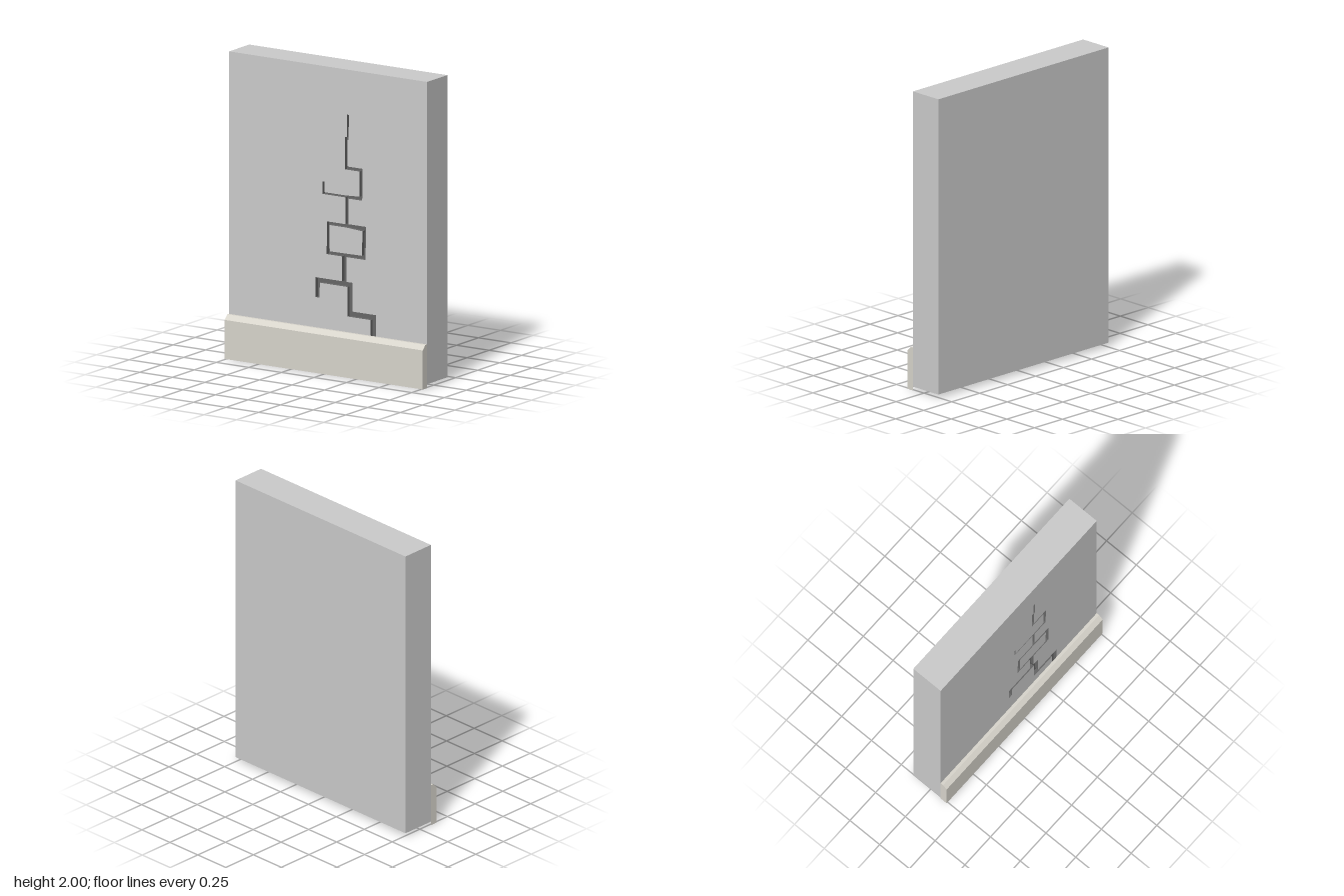
import * as THREE from 'three';

const W = 0.76, BASE = 0.025, TOP = 2, FRONT = 0.09, BACK = -0.14, FLOOR = 0.065;

// Crack outline: up its left side from the wall's foot, then down its right side
const CRACK = [
  [.15, BASE], [.15, .2], [.325, .2], [.325, .387], [.148, .387], [.148, .58],
  [-.063, .58], [-.066, .482], [-.095, .482], [-.095, .612], [.108, .612], [.108, .774],
  [-.011, .774], [-.008, .988], [.132, .988], [.132, 1.163], [-.042, 1.163], [-.042, 1.245],
  [-.029, 1.245], [-.029, 1.176], [.132, 1.176], [.241, 1.182], [.241, 1.346], [.13, 1.346],
  [.13, 1.558], [.146, 1.558], [.146, 1.706], [.161, 1.706], [.156, 1.542], [.148, 1.542],
  [.151, 1.367], [.265, 1.367], [.262, 1.158], [.156, 1.158], [.156, .991], [.291, .991],
  [.288, .774], [.143, .774], [.143, .612], [.188, .612], [.188, .424], [.368, .424],
  [.368, .16], [.19, .16], [.19, BASE],
];
// Piece of wall left standing inside the crack's loop
const ISLAND = [[.013, .795], [.259, .798], [.265, .959], [.137, .967], [.011, .967]];

const vectors = (points) => points.map(([x, y]) => new THREE.Vector2(x, y));

function material(color) {
  return new THREE.MeshStandardMaterial({ color, flatShading: true, side: THREE.DoubleSide });
}

// Four-cornered faces, corners counter-clockwise
function quads(faces) {
  const positions = faces.flatMap(([a, b, c, d]) => [a, b, c, a, c, d].flat());
  const geometry = new THREE.BufferGeometry();
  geometry.setAttribute('position', new THREE.Float32BufferAttribute(positions, 3));
  geometry.computeVertexNormals();
  return geometry;
}

export function createModel() {
  const model = new THREE.Group();
  const plaster = material(0xcccccc);
  const skirting = material(0xd8d5cc);
  const dark = material(0x666666);

  function add(name, geometry, mat, z = 0) {
    const mesh = new THREE.Mesh(geometry, mat);
    mesh.name = name;
    mesh.position.z = z;
    model.add(mesh);
  }

  // Wall front, with the crack cut out
  const face = new THREE.Shape(vectors([[W, BASE], [W, TOP], [-W, TOP], [-W, BASE], ...CRACK]));
  add('wallFront', new THREE.ShapeGeometry([face, new THREE.Shape(vectors(ISLAND))]), plaster, FRONT);

  // Wall sides, top and back, open underneath
  add('wallShell', quads([
    [[W, BASE, FRONT], [W, BASE, BACK], [W, TOP, BACK], [W, TOP, FRONT]],
    [[-W, BASE, BACK], [-W, BASE, FRONT], [-W, TOP, FRONT], [-W, TOP, BACK]],
    [[-W, TOP, FRONT], [W, TOP, FRONT], [W, TOP, BACK], [-W, TOP, BACK]],
    [[W, BASE, BACK], [-W, BASE, BACK], [-W, TOP, BACK], [W, TOP, BACK]],
  ]), plaster);

  // Crack floor
  const floor = new THREE.Shape(vectors(CRACK));
  floor.holes.push(new THREE.Path(vectors(ISLAND)));
  add('crackFloor', new THREE.ShapeGeometry(floor), dark, FLOOR);

  // Crack sides, along the outline and around the island
  const sides = [];
  for (const line of [CRACK, [...ISLAND, ISLAND[0]]]) {
    for (let i = 1; i < line.length; i++) {
      const a = line[i - 1], b = line[i];
      sides.push([[...a, FRONT], [...a, FLOOR], [...b, FLOOR], [...b, FRONT]]);
    }
  }
  add('crackSides', quads(sides), dark);

  // Baseboard: a bevelled profile (y, z) swept across the wall, open below and behind
  const profile = [[0, .14], [.255, .14], [.285, .11], [.285, FRONT]];
  const board = [];
  for (let i = 1; i < profile.length; i++) {
    const a = profile[i - 1], b = profile[i];
    board.push([[-W, ...a], [W, ...a], [W, ...b], [-W, ...b]]);
  }
  for (const x of [-W, W]) {
    const ends = [
      [[x, 0, .14], [x, 0, FRONT], [x, .255, FRONT], [x, .255, .14]],
      [[x, .255, .14], [x, .255, FRONT], [x, .285, FRONT], [x, .285, .11]],
    ];
    for (const end of ends) board.push(x > 0 ? end : end.reverse());
  }
  add('baseboard', quads(board), skirting);

  return model;
}
